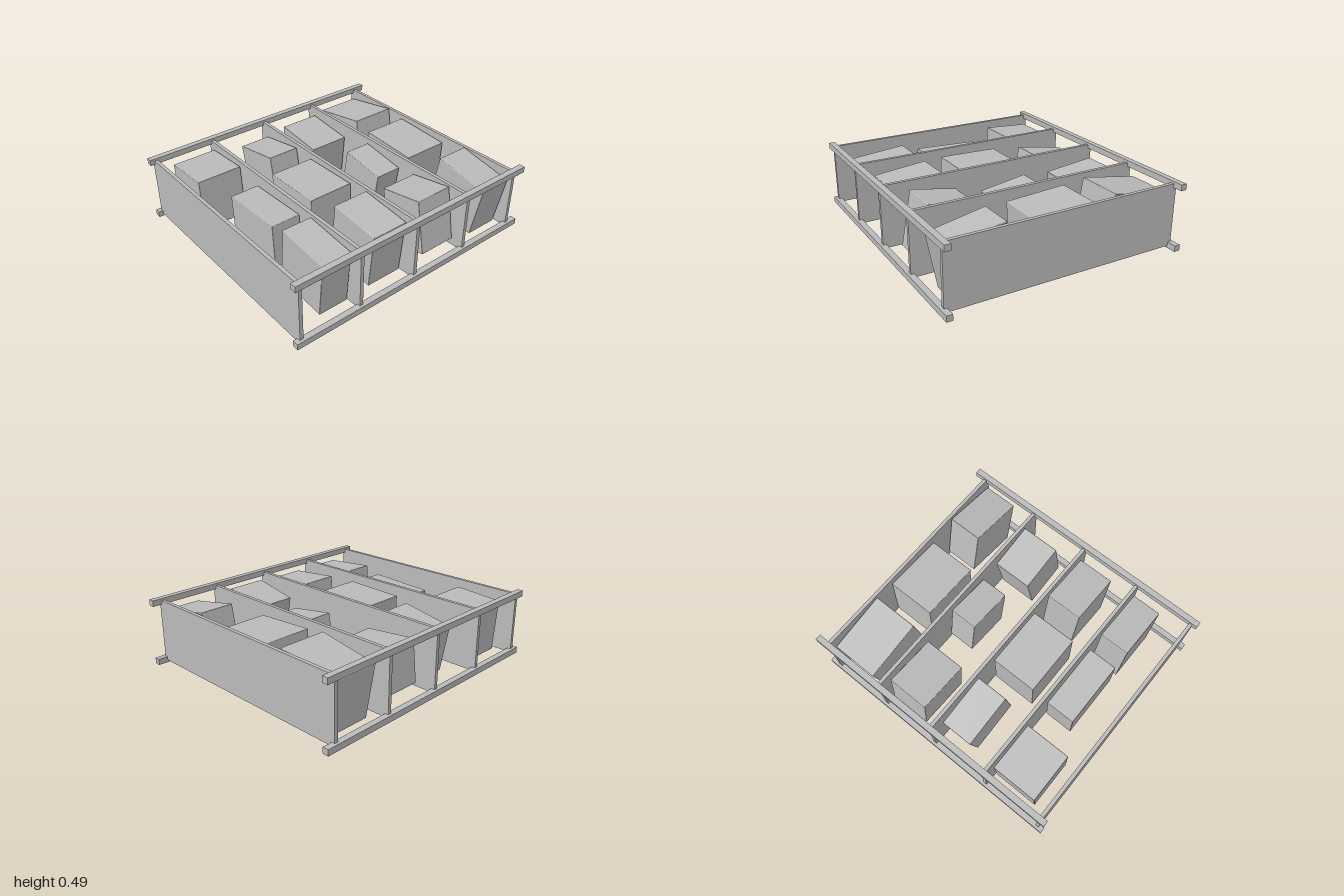
import * as THREE from 'three';
import { RoundedBoxGeometry } from 'three/addons/geometries/RoundedBoxGeometry.js';

export function createModel() {
  const group = new THREE.Group();
  group.name = 'storageRack';
  const grey = new THREE.MeshStandardMaterial({ color: 0xbababa });
  grey.name = 'plain grey';

  const add = (name, geometry, x, y, z, turn = 0) => {
    const mesh = new THREE.Mesh(geometry, grey);
    mesh.name = name;
    mesh.position.set(x, y, z);
    mesh.rotation.z = turn;
    group.add(mesh);
  };

  // Four corner posts of the rack, lying along z
  const post = 0.044, height = 0.492, midY = height / 2;
  for (const x of [-0.866, 0.866])
    for (const y of [post / 2, height - post / 2])
      add('post', new THREE.BoxGeometry(post, post, 2), x, y, 0);

  // Five shelf boards joining the posts
  const shelfZ = (i) => -0.915 + i * 0.467;
  const board = 0.026;
  for (let i = 0; i < 5; i++)
    add('shelf', new THREE.BoxGeometry(1.736, 0.46, board), 0, midY, shelfZ(i));

  // Cartons on each shelf: centre x, length in z, width, depth, turn
  const rows = [
    [[-0.573, 0.347, 0.45, 0.4, 0.173], [-0.021, 0.36, 0.45, 0.39, -0.056], [0.595, 0.257, 0.425, 0.4, -0.191]],
    [[-0.594, 0.312, 0.387, 0.309, -0.104], [0.03, 0.206, 0.35, 0.35, -0.152], [0.581, 0.291, 0.341, 0.4, 0.186]],
    [[-0.545, 0.24, 0.39, 0.355, 0.18], [0.014, 0.341, 0.45, 0.4, 0.025], [0.568, 0.273, 0.39, 0.415, -0.096]],
    [[-0.598, 0.339, 0.362, 0.387, 0.067], [0.036, 0.217, 0.488, 0.33, 0.044], [0.575, 0.222, 0.402, 0.41, -0.09]],
  ];
  rows.forEach((row, i) => {
    for (const [x, length, width, depth, turn] of row)
      add('carton', new RoundedBoxGeometry(width, depth, length, 2, 0.005),
        x, midY + 0.001, shelfZ(i) + board + length / 2, turn);
  });
  return group;
}
